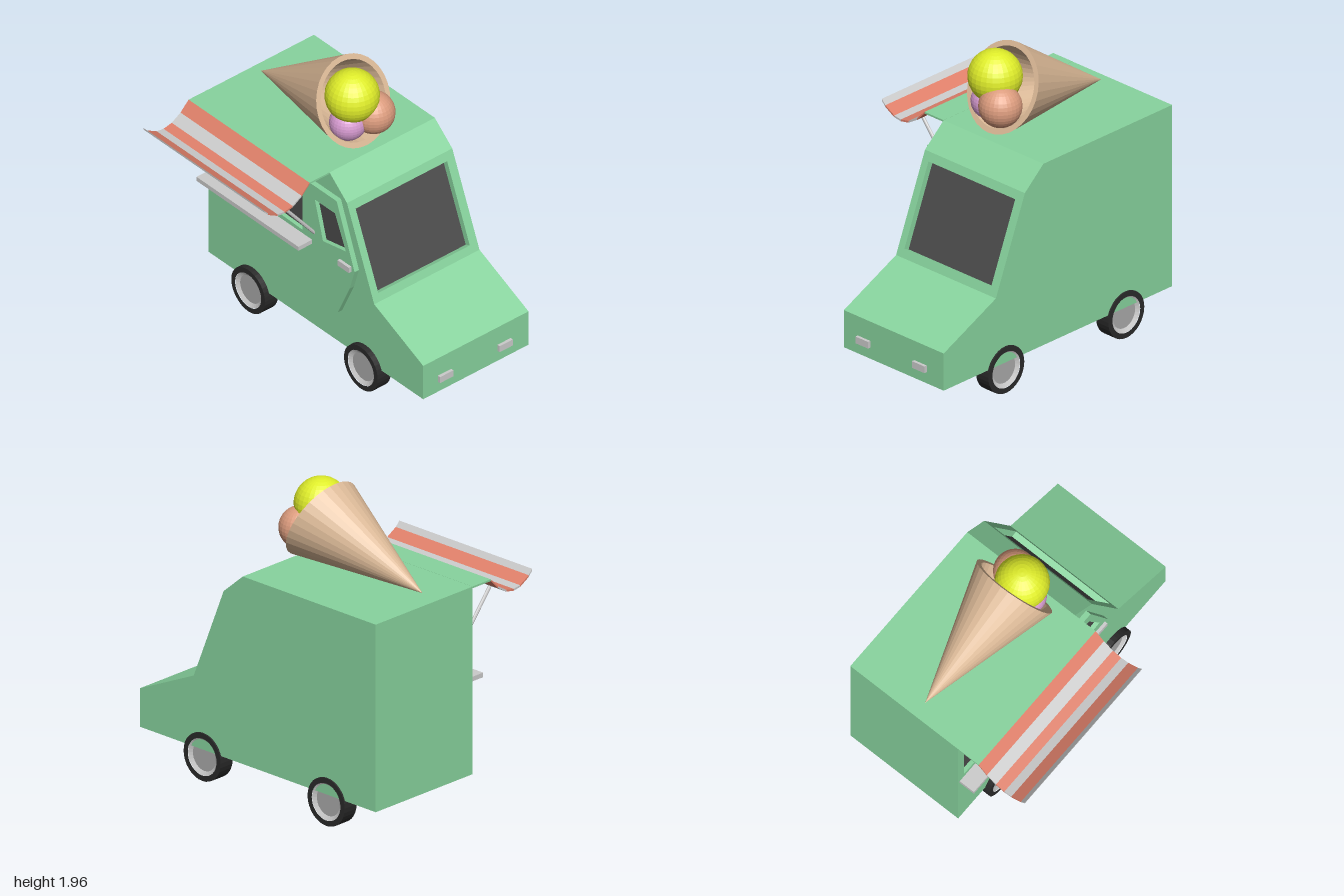
import * as THREE from 'three';

const mat = (color) => new THREE.MeshStandardMaterial({ color, flatShading: true });
const green = mat(0x88d49e), glass = mat(0x4c4c4c), grey = mat(0xcccccc), hubGrey = mat(0xaaaaaa);
const rubber = mat(0x2a2a2a), red = mat(0xe0806a), wafer = mat(0xdab896);
const V2 = (a) => a.map(([x, y]) => new THREE.Vector2(x, y));

export function createModel() {
  const model = new THREE.Group();

  const add = (name, geo, material, x = 0, y = 0, z = 0, parent = model) => {
    const m = new THREE.Mesh(geo, material);
    m.name = name;
    m.position.set(x, y, z);
    parent.add(m);
    return m;
  };
  // box given by its extents
  const box = (name, material, x0, x1, y0, y1, z0, z1) =>
    add(name, new THREE.BoxGeometry(x1 - x0, y1 - y0, z1 - z0), material,
      (x0 + x1) / 2, (y0 + y1) / 2, (z0 + z1) / 2);
  // extruded outline with optional holes
  const slab = (points, depth, holes = []) => {
    const s = new THREE.Shape(V2(points));
    holes.forEach((h) => s.holes.push(new THREE.Path(V2(h))));
    return new THREE.ExtrudeGeometry(s, { depth, bevelEnabled: false });
  };
  const pane = (points) => new THREE.ShapeGeometry(new THREE.Shape(V2(points)));

  // body core, notched along the sloping front for the windscreen frame
  const A = new THREE.Vector2(0.52, 0.66), B = new THREE.Vector2(0.27, 1.28);
  const len = A.distanceTo(B);
  const up = B.clone().sub(A).divideScalar(len);
  const inset = 0.043, nx = up.y * inset, ny = -up.x * inset;
  const low = [[-1, 0.2], [0.97, 0.2], [0.97, 0.45], [A.x, A.y]];
  const high = [[B.x, B.y], [0.11, 1.42], [-1, 1.42]];
  const notch = [[A.x - nx, A.y - ny], [B.x - nx, B.y - ny]];
  add('body', slab([...low, ...notch, ...high], 0.81), green, 0, 0, -0.67);

  // serving side with two window openings
  const windows = [
    [[-0.945, 0.865], [-0.595, 0.855], [-0.59, 1.3], [-0.945, 1.3]],
    [[-0.525, 0.86], [-0.14, 0.85], [-0.135, 1.3], [-0.52, 1.3]],
  ];
  add('servingSide', slab([...low, ...high], 0.03, windows), green, 0, 0, 0.14);
  windows.forEach((w) => add('servingWindow', pane(w), glass, 0, 0, 0.143));

  // windscreen frame and glass on the slope
  const screen = new THREE.Group();
  screen.name = 'windscreen';
  const yAxis = new THREE.Vector3(up.x, up.y, 0), nAxis = new THREE.Vector3(up.y, -up.x, 0);
  screen.setRotationFromMatrix(
    new THREE.Matrix4().makeBasis(new THREE.Vector3(0, 0, -1), yAxis, nAxis));
  screen.position.set(notch[0][0], notch[0][1], 0);
  model.add(screen);
  const opening = [[-0.12, 0.054], [0.61, 0.054], [0.61, 0.61], [-0.12, 0.61]];
  add('windscreenFrame', slab([[-0.14, 0], [0.67, 0], [0.67, len], [-0.14, len]], inset, [opening]),
    green, 0, 0, 0, screen);
  add('windscreenGlass', pane(opening), glass, 0, 0, 0.003, screen);

  // cab door
  const doorWindow = [[0.09, 0.91], [0.3, 0.95], [0.2, 1.18], [0.015, 1.18]];
  add('door', slab([[-0.035, 0.45], [0.225, 0.45], [0.335, 0.69], [0.38, 0.84], [0.215, 1.28],
    [-0.07, 1.28], [0.035, 0.91]], 0.035, [doorWindow]), green, 0, 0, 0.17);
  add('doorWindow', pane(doorWindow), glass, 0, 0, 0.177);
  box('doorHandle', grey, 0.245, 0.35, 0.825, 0.865, 0.2, 0.225);

  // serving shelf and headlights
  box('servingShelf', grey, -0.985, -0.05, 0.795, 0.825, 0.165, 0.28);
  for (const z of [0.0, -0.475]) box('headlight', grey, 0.965, 0.99, 0.275, 0.32, z - 0.053, z + 0.053);

  // awning: flat lead, then striped strips following a curve (z, y)
  const curve = [[0.17, 1.415], [0.33, 1.415], [0.395, 1.35], [0.465, 1.307], [0.53, 1.294],
    [0.585, 1.302], [0.66, 1.345], [0.69, 1.378]];
  const stripes = [green, red, grey, red, grey, red, grey];
  stripes.forEach((m, i) => {
    const [z0, y0] = curve[i], [z1, y1] = curve[i + 1];
    const g = slab([[-z0, y0 - 0.006], [-z0, y0 + 0.006], [-z1, y1 + 0.006], [-z1, y1 - 0.006]], 1.11);
    g.rotateY(Math.PI / 2);
    add('awningStrip', g, m, -1, 0, 0);
  });

  // awning struts
  for (const x of [-0.84, -0.035]) {
    const path = new THREE.LineCurve3(new THREE.Vector3(x, 0.885, 0.165), new THREE.Vector3(x, 1.3, 0.5));
    add('awningStrut', new THREE.TubeGeometry(path, 1, 0.011, 8), grey);
  }

  // wheels: tyre, dished rim and hub disc
  const turned = (pts, n) => new THREE.LatheGeometry(V2(pts), n).rotateX(Math.PI / 2);
  for (const x of [-0.595, 0.44]) {
    for (const z of [0.155, -0.628]) {
      const wheel = new THREE.Group();
      wheel.name = 'wheel';
      wheel.position.set(x, 0.155, z);
      model.add(wheel);
      add('tyre', turned([[0.12, -0.052], [0.155, -0.052], [0.155, 0.052], [0.12, 0.052]], 32),
        rubber, 0, 0, 0, wheel);
      add('rim', turned([[0.09, -0.03], [0.121, -0.048], [0.121, 0.048], [0.09, 0.03]], 32),
        grey, 0, 0, 0, wheel);
      add('hub', new THREE.CylinderGeometry(0.097, 0.097, 0.066, 32).rotateX(Math.PI / 2),
        hubGrey, 0, 0, 0, wheel);
    }
  }

  // wafer cone lying on the roof, its mouth cut obliquely
  const mouth = new THREE.Vector3(-0.0575, 1.7, -0.165);
  const rim = new THREE.Vector3(-0.1275, 0.26, 0);
  const axis = new THREE.Vector3(-0.905, 1.45, -0.165).sub(mouth);
  const cone = new THREE.LatheGeometry(V2([[0, 0.9], [0.88, 0], [1, 0], [0, 1]]), 32);
  cone.applyMatrix4(new THREE.Matrix4()
    .makeBasis(rim, axis, new THREE.Vector3(0, 0, 0.275)).setPosition(mouth));
  add('waferCone', cone, wafer);

  // scoops
  const scoops = [
    [0xe0ee2a, 0.168, -0.027, 1.777, -0.13],
    [0xdc9c7e, 0.134, 0.041, 1.635, -0.24],
    [0xd89cd2, 0.115, -0.02, 1.6, -0.09],
  ];
  for (const [color, r, x, y, z] of scoops)
    add('scoop', new THREE.SphereGeometry(r, 28, 18), mat(color), x, y, z);

  return model;
}
